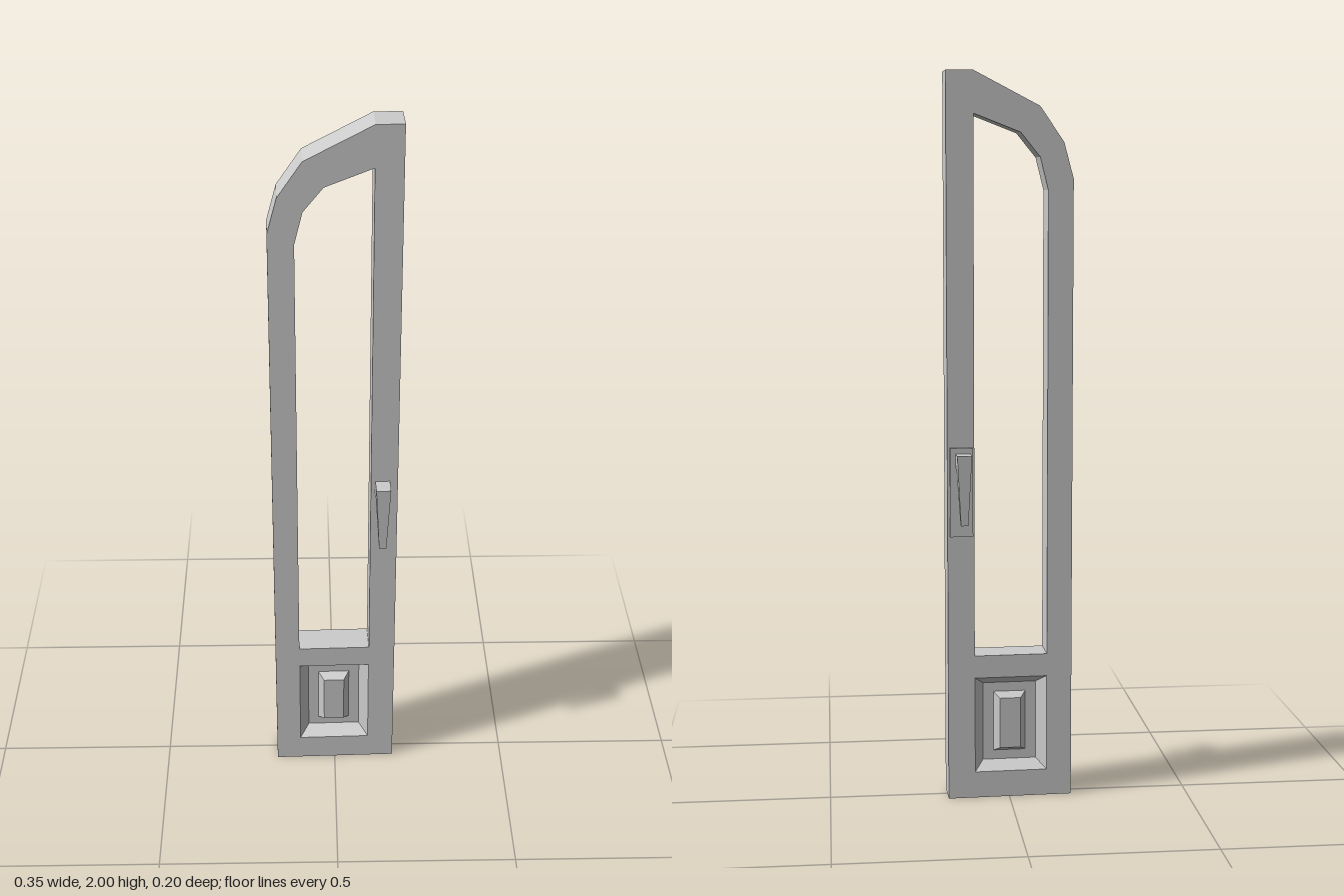
import * as THREE from 'three';

const HALF = 0.045; // half thickness of the door leaf
const material = new THREE.MeshStandardMaterial({ color: 0xcccccc, flatShading: true });

function part(name, geometry, x = 0, y = 0, z = 0) {
  const mesh = new THREE.Mesh(geometry, material);
  mesh.name = name;
  mesh.position.set(x, y, z);
  return mesh;
}

// Joins consecutive counter-clockwise rings, given as { points: [[x, y], ...], z }
function loft(rings) {
  const positions = [];
  for (let r = 0; r + 1 < rings.length; r++) {
    const a = rings[r], b = rings[r + 1], n = a.points.length;
    for (let i = 0; i < n; i++) {
      const j = (i + 1) % n;
      const a0 = [...a.points[i], a.z], a1 = [...a.points[j], a.z];
      const b0 = [...b.points[i], b.z], b1 = [...b.points[j], b.z];
      positions.push(...a0, ...b0, ...b1, ...a0, ...b1, ...a1);
    }
  }
  const geometry = new THREE.BufferGeometry();
  geometry.setAttribute('position', new THREE.Float32BufferAttribute(positions, 3));
  geometry.computeVertexNormals();
  return geometry;
}

const rect = (w, h, x = 0, y = 0) =>
  [[x - w / 2, y - h / 2], [x + w / 2, y - h / 2], [x + w / 2, y + h / 2], [x - w / 2, y + h / 2]];
const vectors = (points) => points.map(([x, y]) => new THREE.Vector2(x, y));

// Lever handle: hooked side profile, extruded and narrowed towards its tip
function handleGeometry(reach) {
  const profile = [[0, 0.937], [reach - 0.026, 0.937], [reach - 0.021, 0.783],
    [reach - 0.007, 0.783], [reach, 0.975], [0, 0.975]];
  const geometry = new THREE.ExtrudeGeometry(new THREE.Shape(vectors(profile)),
    { depth: 0.04, bevelEnabled: false });
  geometry.translate(0, 0, -0.02).rotateY(-Math.PI / 2);
  const p = geometry.attributes.position;
  for (let i = 0; i < p.count; i++) {
    const t = THREE.MathUtils.clamp((p.getY(i) - 0.783) / 0.154, 0, 1);
    p.setX(i, p.getX(i) * (0.5 + 0.5 * t));
  }
  geometry.computeVertexNormals();
  return geometry;
}

export function createModel() {
  const door = new THREE.Group();
  door.name = 'doorLeaf';

  // Outline, window opening and lower panel opening
  const outline = [[-0.173, 0], [0.172, 0], [0.172, 2], [0.098, 2],
    [-0.082, 1.907], [-0.147, 1.812], [-0.173, 1.715]];
  const opening = [[-0.104, 0.407], [0.098, 0.407], [0.098, 1.887],
    [-0.029, 1.838], [-0.082, 1.773], [-0.104, 1.685]];
  const panelX = -0.003, panelY = 0.209;

  // Front and back faces
  const shape = new THREE.Shape(vectors(outline));
  for (const hole of [opening, rect(0.201, 0.27, panelX, panelY)]) {
    shape.holes.push(new THREE.Path(vectors(hole)));
  }
  const back = new THREE.ShapeGeometry(shape);
  back.index.array.reverse();
  back.computeVertexNormals();
  door.add(part('frontFace', new THREE.ShapeGeometry(shape), 0, 0, HALF));
  door.add(part('backFace', back, 0, 0, -HALF));

  // Outer edge and window reveal
  door.add(part('outerEdge', loft([{ points: outline, z: HALF }, { points: outline, z: -HALF }])));
  door.add(part('windowReveal', loft([{ points: opening, z: -HALF }, { points: opening, z: HALF }])));

  // Sunken panel with a raised centre, on both sides
  const panel = loft([
    { points: rect(0, 0), z: HALF - 0.011 },
    { points: rect(0.058, 0.143), z: HALF - 0.011 },
    { points: rect(0.09, 0.17), z: HALF - 0.036 },
    { points: rect(0.149, 0.222), z: HALF - 0.036 },
    { points: rect(0.201, 0.27), z: HALF },
  ]);
  door.add(part('frontPanel', panel, panelX, panelY));
  const backPanel = part('backPanel', panel, panelX, panelY);
  backPanel.rotation.y = Math.PI;
  door.add(backPanel);

  // Handles on both sides and the back plate
  door.add(part('frontHandle', handleGeometry(0.051), 0.13, 0, HALF));
  const backHandle = part('backHandle', handleGeometry(0.057), 0.13, 0, -HALF);
  backHandle.rotation.y = Math.PI;
  door.add(backHandle);
  door.add(part('lockPlate', new THREE.BoxGeometry(0.063, 0.245, 0.011), 0.134, 0.868, -HALF - 0.0045));

  // The leaf stands slightly ajar
  door.rotation.y = 0.026;
  door.position.z = 0.005;

  const model = new THREE.Group();
  model.name = 'door';
  model.add(door);
  return model;
}
